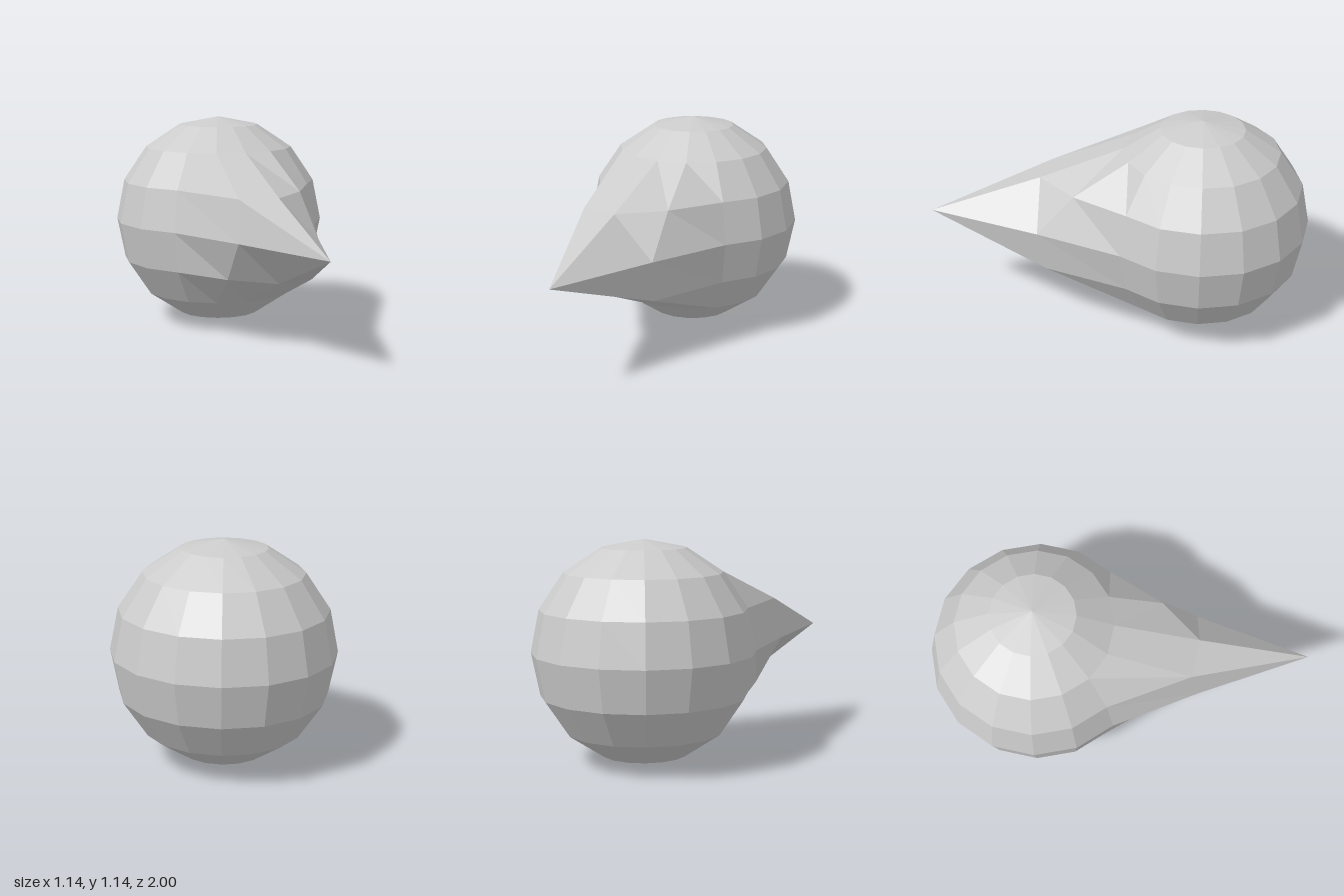
import * as THREE from 'three';

const RADIUS = 0.57;
const COLUMNS = 16, ROWS = 8;
const TIP_COLUMN = 4, TIP_ROW = 4; // grid vertex facing +z

// How far a grid vertex is drawn forward, given its steps from the tip vertex
function pull(right, down) {
  if (Math.abs(right) > 1 || Math.abs(down) > 1) return 0;
  if (right === 0 && down === 0) return 0.86;
  // neighbours joined to the tip by an edge or face diagonal move further
  const joined = right === 0 || down === 0 || right === down;
  return joined ? 0.315 : 0.165;
}

export function createModel() {
  const group = new THREE.Group();
  group.name = 'spikedBall';

  // Low-poly ball whose front is drawn out into a pointed beak
  const geometry = new THREE.SphereGeometry(RADIUS, COLUMNS, ROWS);
  const position = geometry.attributes.position;
  for (let row = 0; row <= ROWS; row++) {
    for (let column = 0; column <= COLUMNS; column++) {
      const i = row * (COLUMNS + 1) + column;
      position.setZ(i, position.getZ(i) + pull(column - TIP_COLUMN, row - TIP_ROW));
    }
  }
  geometry.translate(0, RADIUS, RADIUS - 1);
  geometry.computeVertexNormals();

  const body = new THREE.Mesh(
    geometry,
    new THREE.MeshStandardMaterial({ color: 0xcccccc, flatShading: true })
  );
  body.name = 'beakedBody';
  group.add(body);
  return group;
}
